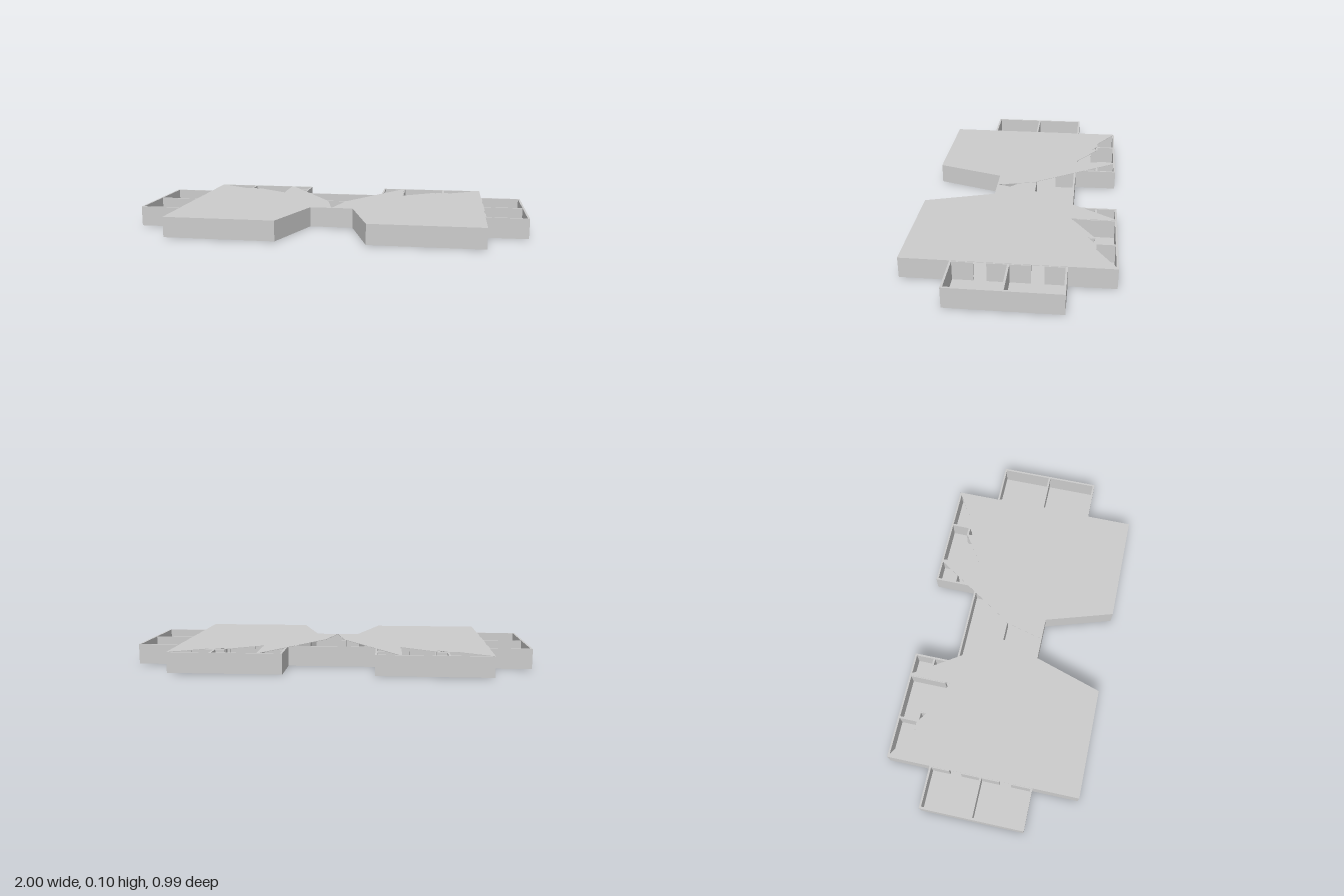
import * as THREE from 'three';

const HEIGHT = 0.103, FLOOR = 0.004, T = 0.01;
const grey = new THREE.MeshStandardMaterial({ color: 0xcccccc, flatShading: true, side: THREE.DoubleSide });

// Left half of the plan as [x, z], from the front centre round to the back centre
const halfPlan = [
  [0, 0.145], [0.112, 0.145], [0.222, 0.495], [0.787, 0.495], [0.787, 0.258], [1, 0.258],
  [1, -0.273], [0.787, -0.273], [0.787, -0.495], [0.222, -0.495], [0.222, -0.273], [0, -0.273],
];
// Left half of the roof, with its ragged back edge
const halfRoof = [
  [0, 0.145], [0.112, 0.145], [0.222, 0.495], [0.787, 0.495], [0.787, -0.495], [0.62, -0.39],
  [0.575, -0.39], [0.525, -0.355], [0.525, -0.39], [0.345, -0.27], [0.345, -0.488],
  [0.335, -0.488], [0.06, -0.065], [0.05, -0.055],
];
// Partitions of one half: x1, z1, x2, z2, with door gaps between runs
const partitions = [
  // wing
  [0.787, -0.008, 1, -0.008], [0.787, -0.27, 0.787, -0.17], [0.787, -0.11, 0.787, 0.09], [0.787, 0.15, 0.787, 0.255],
  // back rooms
  [0.575, -0.49, 0.575, -0.39], [0.345, -0.49, 0.345, -0.3], [0.62, -0.39, 0.525, -0.39],
  [0.222, -0.39, 0.28, -0.39], [0.525, -0.39, 0.525, -0.355], [0.69, -0.39, 0.787, -0.39],
  [0.222, -0.27, 0.33, -0.27], [0.39, -0.27, 0.52, -0.27], [0.58, -0.27, 0.787, -0.27],
  // middle rooms
  [0.575, -0.27, 0.575, -0.13], [0.575, -0.07, 0.575, 0.06], [0.575, -0.008, 0.73, -0.008],
  [0.345, -0.2, 0.345, -0.05], [0.345, -0.12, 0.45, -0.12], [0.2, -0.27, 0.2, -0.16],
  // front rooms
  [0.49, 0.24, 0.49, 0.49], [0.345, 0.24, 0.45, 0.24], [0.49, 0.24, 0.62, 0.24], [0.68, 0.24, 0.787, 0.24],
];

const mirror = pts => pts.map(([x, z]) => [-x, z]).reverse();
const toPath = (pts, Type) => new Type(pts.map(([x, z]) => new THREE.Vector2(x, z)));

// Move a closed outline inwards by t with mitred corners
function inset(pts, t) {
  const n = pts.length;
  const normal = (a, b) => {
    const dx = b[0] - a[0], dz = b[1] - a[1], l = Math.hypot(dx, dz);
    return [dz / l, -dx / l];
  };
  return pts.map((p, i) => {
    const a = normal(pts[(i + n - 1) % n], p), b = normal(p, pts[(i + 1) % n]);
    const k = t / (1 + a[0] * b[0] + a[1] * b[1]);
    return [p[0] + (a[0] + b[0]) * k, p[1] + (a[1] + b[1]) * k];
  });
}

// Flat slab from a plan shape, between two heights
function slab(name, shape, bottom, top) {
  const geometry = new THREE.ExtrudeGeometry(shape, { depth: top - bottom, bevelEnabled: false });
  geometry.rotateX(Math.PI / 2).translate(0, top, 0);
  const mesh = new THREE.Mesh(geometry, grey);
  mesh.name = name;
  return mesh;
}

function wall(name, x1, z1, x2, z2) {
  const length = Math.hypot(x2 - x1, z2 - z1), h = HEIGHT - 0.002;
  const mesh = new THREE.Mesh(new THREE.BoxGeometry(length, h, T), grey);
  mesh.position.set((x1 + x2) / 2, h / 2, (z1 + z2) / 2);
  mesh.rotation.y = -Math.atan2(z2 - z1, x2 - x1);
  mesh.name = name;
  return mesh;
}

export function createModel() {
  const model = new THREE.Group();
  model.name = 'buildingStorey';

  // Perimeter wall and floor
  const plan = [...halfPlan, ...mirror(halfPlan).slice(1, -1)];
  const inner = inset(plan, T);
  const ring = toPath(plan, THREE.Shape);
  ring.holes.push(toPath(inner, THREE.Path));
  model.add(slab('outerWall', ring, 0, HEIGHT - 0.001));
  model.add(slab('floor', toPath(inner, THREE.Shape), FLOOR, FLOOR + 0.003));

  // Roof halves
  model.add(slab('leftRoof', toPath(halfRoof, THREE.Shape), HEIGHT - 0.002, HEIGHT));
  model.add(slab('rightRoof', toPath(mirror(halfRoof), THREE.Shape), HEIGHT - 0.002, HEIGHT));

  // Mirrored partitions and eight-sided lobbies
  const rooms = new THREE.Group();
  rooms.name = 'partitions';
  for (const s of [1, -1]) {
    for (const [x1, z1, x2, z2] of partitions) rooms.add(wall('partition', s * x1, z1, s * x2, z2));
    for (let i = 0; i < 8; i++) {
      if (i === 1) continue; // doorway
      const corner = k => [s * (0.25 + 0.1 * Math.cos((k + 0.5) * Math.PI / 4)), 0.16 + 0.1 * Math.sin((k + 0.5) * Math.PI / 4)];
      rooms.add(wall('lobbyWall', ...corner(i), ...corner(i + 1)));
    }
  }
  rooms.add(wall('centreWall', -0.06, -0.06, 0.06, -0.06));
  model.add(rooms);
  return model;
}
